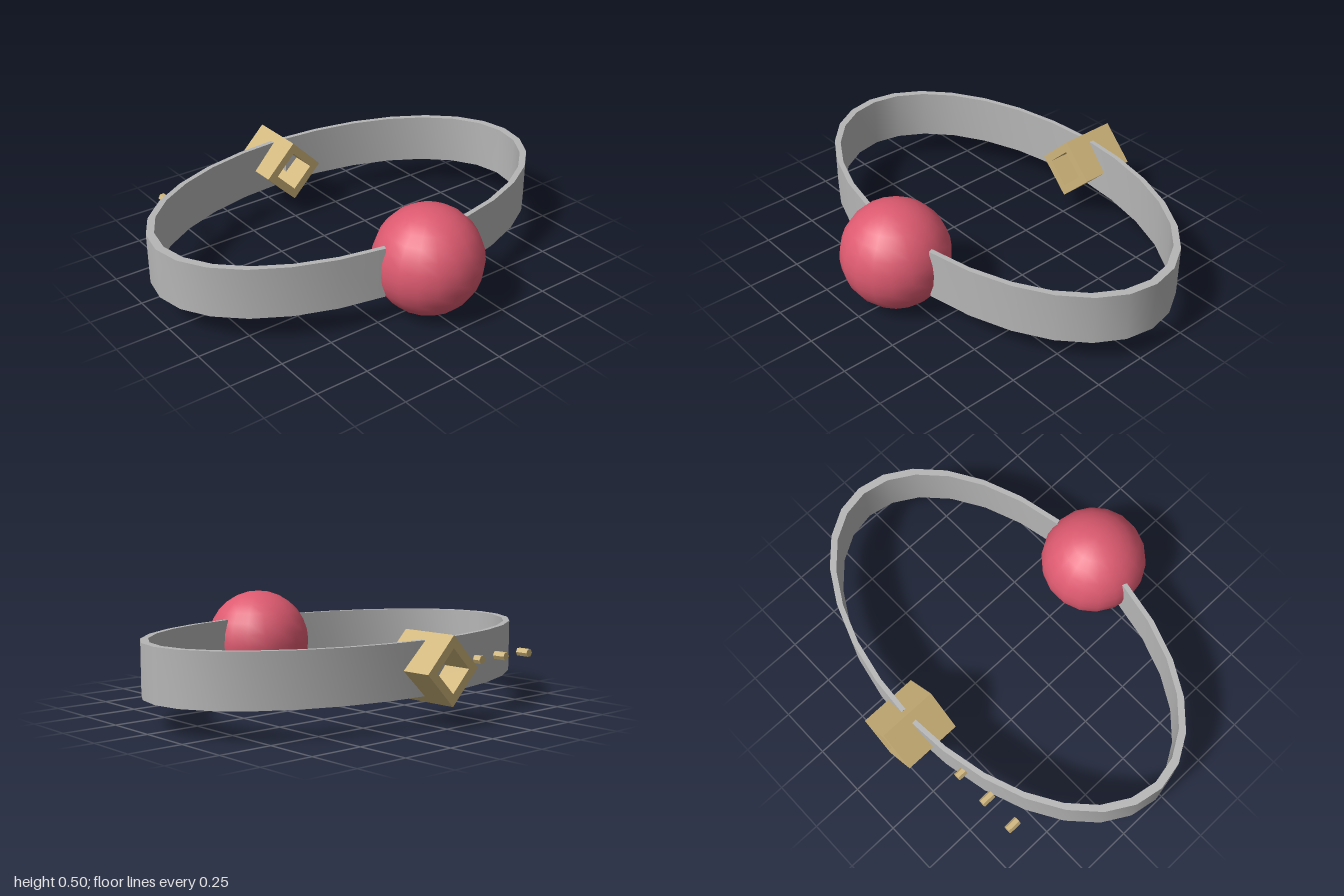
import * as THREE from 'three';
import { toCreasedNormals } from 'three/addons/utils/BufferGeometryUtils.js';

const material = (name, color) => {
  const m = new THREE.MeshStandardMaterial({ color });
  m.name = name;
  return m;
};

export function createModel() {
  const red = material('red', 0xdd5a70);
  const grey = material('grey', 0xb6b6b6);
  const brass = material('brass', 0xcfb57b);
  const group = new THREE.Group();
  const midY = 0.253;

  const add = (name, geometry, mat, x = 0, y = 0, z = 0) => {
    const mesh = new THREE.Mesh(geometry, mat);
    mesh.name = name;
    mesh.position.set(x, y, z);
    group.add(mesh);
  };

  // Ball at the front
  add('ball', new THREE.SphereGeometry(0.249, 18, 14), red, 0, 0.251, 0.53);

  // Two half-ellipse straps, open behind the ball and inside the buckle
  const angles = [0.035];
  for (let i = 1; i <= 13; i++) angles.push((i / 28) * Math.PI * 2);
  for (const [name, side] of [['leftStrap', 1], ['rightStrap', -1]]) {
    const arc = (scale) => angles.map((a) => new THREE.Vector2(
      side * scale * Math.sin(a), 0.06 + 0.59 * scale * Math.cos(a)));
    const shape = new THREE.Shape([...arc(1), ...arc(0.962).reverse()]);
    const strap = new THREE.ExtrudeGeometry(shape, { depth: 0.24, bevelEnabled: false });
    strap.rotateX(-Math.PI / 2);
    add(name, toCreasedNormals(strap, 0.6), grey, 0, midY - 0.12, 0);
  }

  // Square buckle standing on its corner, with a square opening through it
  const diamond = (r) => [[r, 0], [0, r], [-r, 0], [0, -r]].map(([x, y]) => new THREE.Vector2(x, y));
  const frame = new THREE.Shape(diamond(0.152));
  frame.holes.push(new THREE.Path(diamond(0.097).reverse()));
  add('buckle', new THREE.ExtrudeGeometry(frame, { depth: 0.28, bevelEnabled: false }),
    brass, 0, midY, -0.782);

  // Row of hexagonal studs beside the buckle
  const stud = new THREE.CylinderGeometry(0.02, 0.02, 0.062, 6);
  stud.rotateY(Math.PI / 6);
  stud.rotateX(Math.PI / 2);
  const flatStud = toCreasedNormals(stud, 0.5);
  for (let i = 0; i < 3; i++) add('stud', flatStud, brass, -0.327 - i * 0.163, midY, -0.625);

  return group;
}
